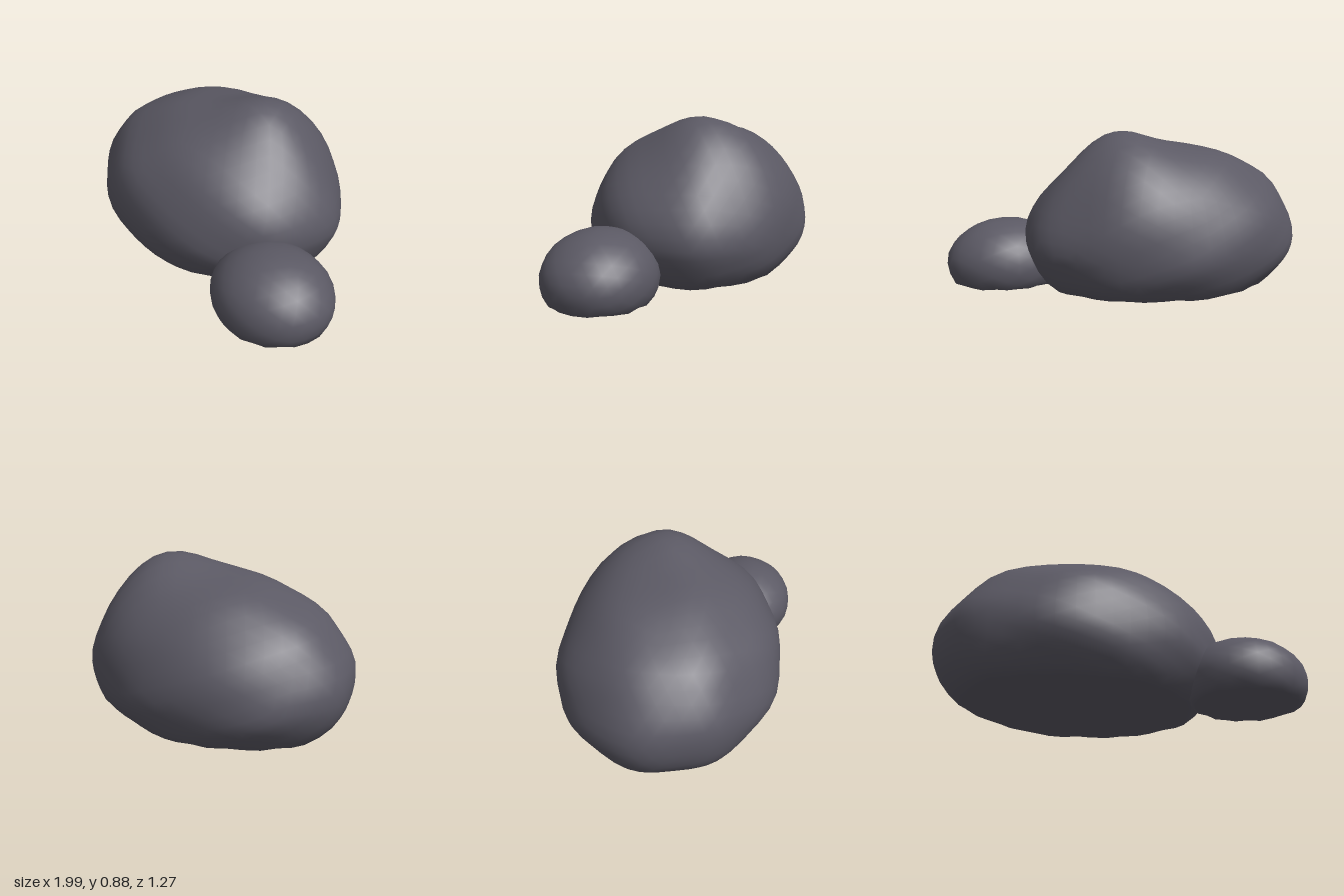
import * as THREE from 'three';
import { mergeVertices } from 'three/addons/utils/BufferGeometryUtils.js';

const stone = new THREE.MeshStandardMaterial({ color: 0x5b5964 });
stone.name = 'slate stone';

// Gentle weathering, continuous over the surface
const ripple = (d, f) =>
  Math.sin(d.x * f + d.y * 3.1 + 1.2) * Math.sin(d.y * f - d.z * 2.3 + 0.5) +
  Math.sin(d.z * f * 1.3 + d.x * 4.0) * 0.7;

// A boulder: squashed sphere with a flat underside, rough skin and an optional hump
function boulder({ name, detail, centre, radius, below, rough, hump }) {
  let geometry = new THREE.IcosahedronGeometry(1, detail);
  geometry.deleteAttribute('normal');
  geometry.deleteAttribute('uv');
  geometry = mergeVertices(geometry, 1e-4);
  const pos = geometry.attributes.position;
  const d = new THREE.Vector3();
  for (let i = 0; i < pos.count; i++) {
    d.fromBufferAttribute(pos, i);
    const r = 1 + rough * ripple(d, 7);
    const x = centre[0] + d.x * radius[0] * r;
    const z = centre[2] + d.z * radius[2] * r;
    let y = centre[1] + d.y * r * (d.y > 0 ? radius[1] : below);
    if (hump && d.y > 0) {
      const dx = (x - hump.x) / hump.width;
      const dz = (z - hump.z) / hump.depth;
      y += hump.height * Math.exp(-dx * dx - dz * dz) * Math.min(1, d.y * 2);
    }
    pos.setXYZ(i, x, Math.max(y, 0.006 * Math.min(1, Math.hypot(d.x, d.z))), z);
  }
  geometry.computeVertexNormals();
  const mesh = new THREE.Mesh(geometry, stone);
  mesh.name = name;
  return mesh;
}

export function createModel() {
  const group = new THREE.Group();
  group.name = 'rocks';
  group.add(
    boulder({
      name: 'largeBoulder', detail: 8, centre: [-0.19, 0.26, -0.005],
      radius: [0.8, 0.55, 0.625], below: 0.43, rough: 0.014,
      hump: { x: 0.14, z: -0.17, width: 0.27, depth: 0.36, height: 0.125 },
    }),
    boulder({
      name: 'smallBoulder', detail: 4, centre: [0.65, 0.12, 0.335],
      radius: [0.345, 0.25, 0.305], below: 0.25, rough: 0.006,
    }),
  );
  return group;
}
